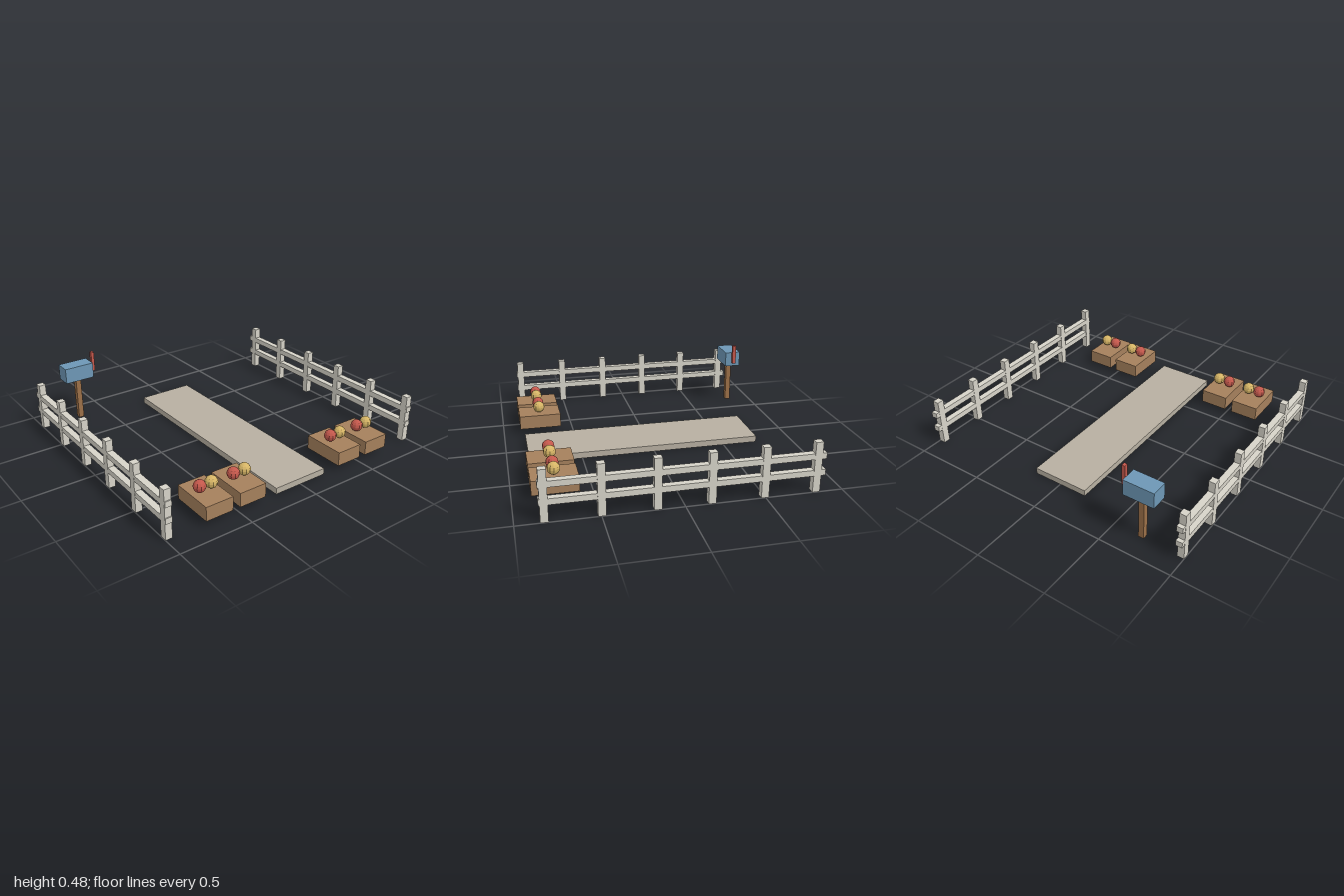
import * as THREE from 'three';

const paint = (color) => new THREE.MeshStandardMaterial({ color, flatShading: true });

export function createModel() {
  const model = new THREE.Group();
  model.name = 'frontYard';

  const fencePaint = paint(0xd6d3c8);
  const stone = paint(0xb7afa1);
  const crateWood = paint(0xa5805c);
  const postWood = paint(0x9c7048);
  const blue = paint(0x6d97b5);
  const red = paint(0xc4584c);
  const yellow = paint(0xd6b566);

  // Box given by its size and centre
  const box = (parent, name, material, [w, h, d], [x, y, z]) => {
    const mesh = new THREE.Mesh(new THREE.BoxGeometry(w, h, d), material);
    mesh.position.set(x, y, z);
    mesh.name = name;
    parent.add(mesh);
  };

  // Garden path
  box(model, 'path', stone, [0.4, 0.043, 1.597], [0, 0.0215, 0.058]);

  // Two fences: six posts and two rails each
  for (const side of [-1, 1]) {
    const fence = new THREE.Group();
    fence.name = side > 0 ? 'leftFence' : 'rightFence';
    const x = side * 0.977;
    for (let i = 0; i < 6; i++) {
      box(fence, 'fencePost', fencePaint, [0.046, 0.333, 0.048], [x, 0.1665, 0.828 - i * 0.331]);
    }
    for (const y of [0.129, 0.239]) {
      box(fence, 'fenceRail', fencePaint, [0.044, 0.039, 1.738], [x, y, -0.01]);
    }
    model.add(fence);
  }

  // Crates, each with a red and a yellow fruit on top
  const fruitShape = new THREE.SphereGeometry(0.041, 10, 8);
  for (const x of [-0.647, -0.402, 0.398, 0.642]) {
    const crate = new THREE.Group();
    crate.name = 'produceCrate';
    box(crate, 'crate', crateWood, [0.192, 0.096, 0.294], [x, 0.086, 0.735]);
    [red, yellow].forEach((material, i) => {
      const fruit = new THREE.Mesh(fruitShape, material);
      fruit.name = i ? 'yellowFruit' : 'redFruit';
      fruit.position.set(x + (i ? 0.042 : -0.042), 0.183, 0.738);
      crate.add(fruit);
    });
    model.add(crate);
  }

  // Mailbox on its post, with the raised flag beside it
  const mailbox = new THREE.Group();
  mailbox.name = 'mailbox';
  box(mailbox, 'mailboxPost', postWood, [0.038, 0.312, 0.038], [-0.699, 0.156, -0.826]);
  box(mailbox, 'mailboxBody', blue, [0.214, 0.11, 0.114], [-0.7, 0.367, -0.826]);
  box(mailbox, 'mailboxFlag', red, [0.022, 0.142, 0.027], [-0.568, 0.413, -0.826]);
  model.add(mailbox);

  return model;
}
